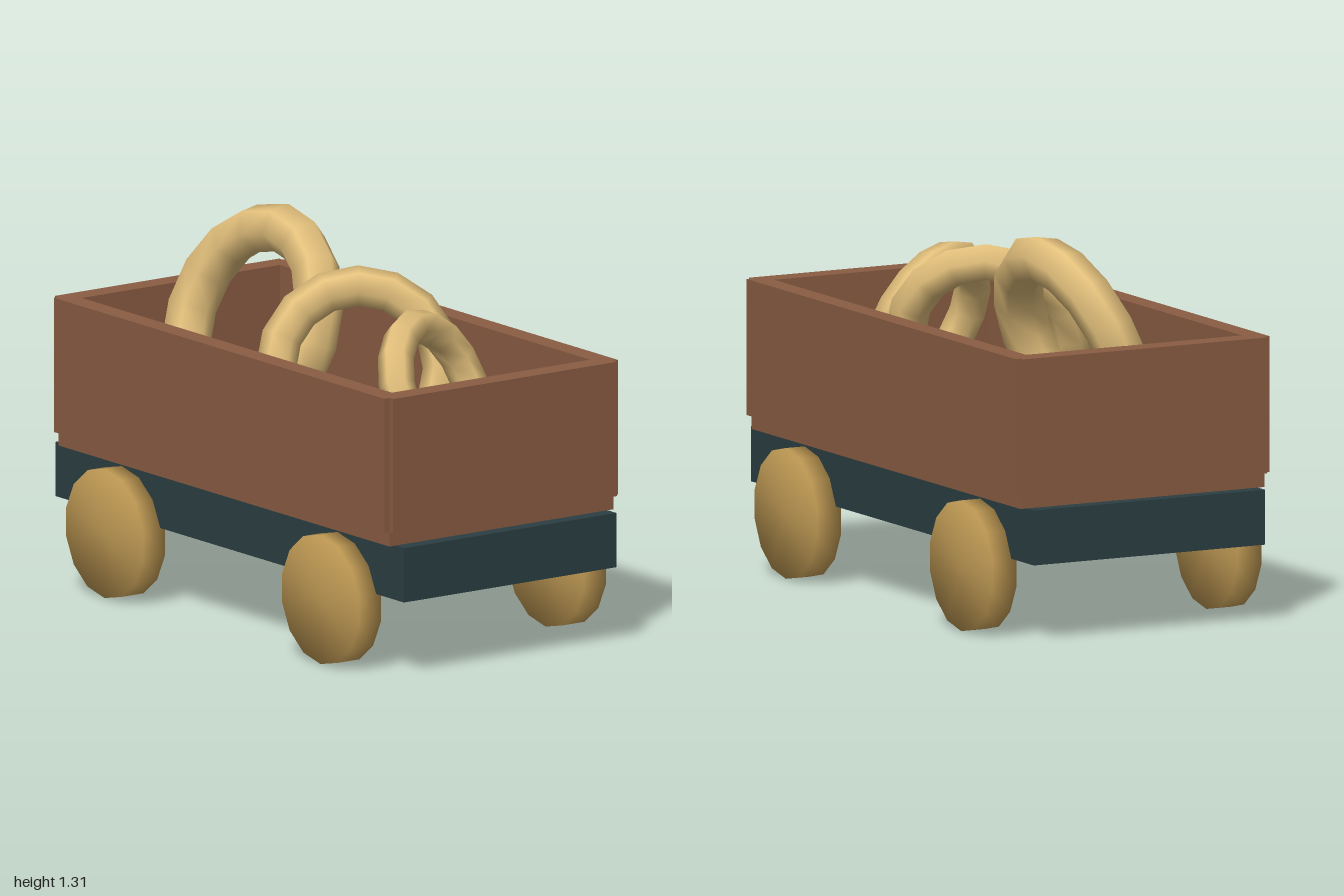
import * as THREE from 'three';
import { mergeVertices } from 'three/addons/utils/BufferGeometryUtils.js';

const mat = (color) => new THREE.MeshStandardMaterial({ color });

export function createModel() {
  const model = new THREE.Group();
  model.name = 'wagon';
  const brown = mat(0x8a5d43), teal = mat(0x2b3f42), wood = mat(0xc09a54), gold = mat(0xe3c07c);

  const add = (name, geometry, material, x, y, z) => {
    const mesh = new THREE.Mesh(geometry, material);
    mesh.name = name;
    mesh.position.set(x, y, z);
    model.add(mesh);
    return mesh;
  };
  const box = (w, h, d) => new THREE.BoxGeometry(w, h, d);

  // Chassis and crate floor
  add('chassis', box(2, 0.19, 0.9), teal, 0, 0.375, 0);
  add('crateFloor', box(1.9, 0.11, 0.95), brown, 0, 0.525, 0);

  // Crate walls, the long and short ones stepped at the corners
  for (const s of [1, -1]) {
    add(s > 0 ? 'frontWall' : 'backWall', box(1.9, 0.47, 0.075), brown, 0, 0.755, s * 0.4575);
    add(s > 0 ? 'leftWall' : 'rightWall', box(0.08, 0.47, 0.95), brown, s * 0.93, 0.755, 0);
  }

  // Wheels: low-poly discs with normals blended across the rim
  let disc = new THREE.CylinderGeometry(0.226, 0.226, 0.093, 14).rotateX(Math.PI / 2);
  disc.deleteAttribute('uv');
  disc.deleteAttribute('normal');
  disc = mergeVertices(disc);
  disc.computeVertexNormals();
  for (const x of [0.62, -0.62])
    for (const z of [0.477, -0.477])
      add(`${z > 0 ? 'front' : 'back'}${x > 0 ? 'Left' : 'Right'}Wheel`, disc, wood, x, 0.23, z);

  // Leaning rings: centre, radius, tube, tilt and turn in degrees
  const rings = [
    ['largeRing', -0.48, 0.915, 0, 0.345, 0.085, 21, 0],
    ['mediumRing', 0.135, 0.875, 0, 0.286, 0.07, 20, 56],
    ['smallRing', 0.57, 0.858, -0.005, 0.25, 0.062, 22, 117],
  ];
  for (const [name, x, y, z, radius, tube, tilt, turn] of rings) {
    const ring = add(name, new THREE.TorusGeometry(radius, tube, 6, 16), gold, x, y, z);
    ring.rotation.set(-THREE.MathUtils.degToRad(tilt), THREE.MathUtils.degToRad(turn), 0, 'YXZ');
  }

  return model;
}
